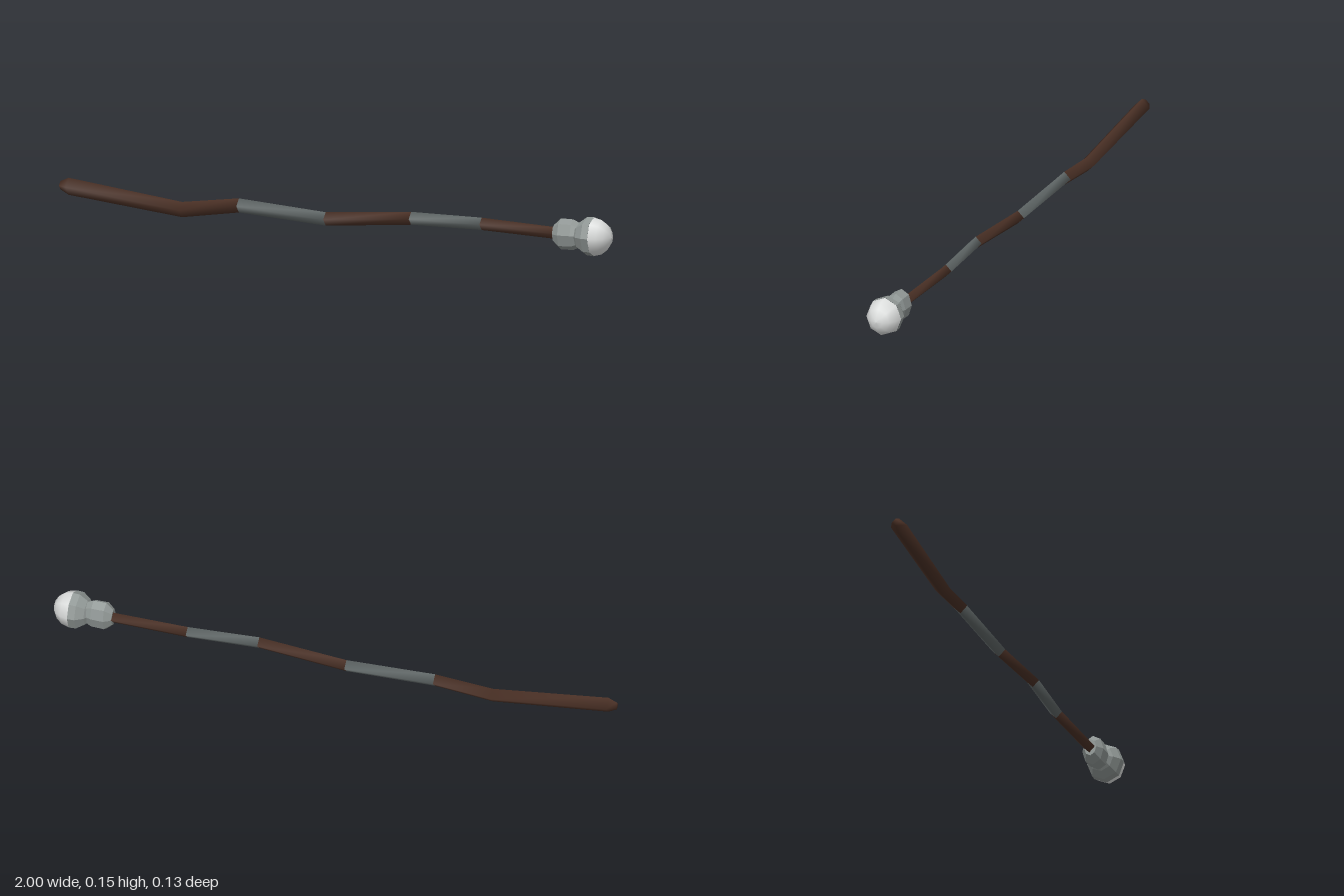
import * as THREE from 'three';

const mat = (name, color, flat = false) => {
  const m = new THREE.MeshStandardMaterial({ color, flatShading: flat });
  m.name = name;
  return m;
};

// Four-sided tube through stations [x, y, z, radius], with a corner on top
function rod(stations, capStart) {
  const pos = [], idx = [];
  for (const [x, y, z, r] of stations)
    for (let k = 0; k < 4; k++) {
      const a = k * Math.PI / 2;
      pos.push(x, y + r * Math.cos(a), z + r * Math.sin(a));
    }
  for (let i = 0; i < stations.length - 1; i++)
    for (let k = 0; k < 4; k++) {
      const a = i * 4 + k, b = i * 4 + (k + 1) % 4;
      idx.push(a, b, a + 4, b, b + 4, a + 4);
    }
  if (capStart) idx.push(0, 2, 1, 0, 3, 2);
  const g = new THREE.BufferGeometry();
  g.setAttribute('position', new THREE.Float32BufferAttribute(pos, 3));
  g.setIndex(idx);
  g.computeVertexNormals();
  return g;
}

// Eight-sided turned shape along x from [x, radius] pairs
function turned(profile) {
  const pts = profile.map(([x, r]) => new THREE.Vector2(r, x));
  return new THREE.LatheGeometry(pts, 8).rotateZ(-Math.PI / 2);
}

export function createModel() {
  const group = new THREE.Group();
  const wood = mat('dark wood', 0x4a3025);
  const wrap = mat('grey wrap', 0x5f6666);
  const metal = mat('grey metal', 0x8f9694, true);
  const pearl = mat('pale orb', 0xdcdedd);
  const add = (name, geometry, material) => {
    const m = new THREE.Mesh(geometry, material);
    m.name = name;
    group.add(m);
    return m;
  };

  // Crooked shaft, with a chamfered butt
  const path = [
    [-1, 0.128, -0.003, 0.014], [-0.97, 0.126, -0.003, 0.029],
    [-0.56, 0.071, -0.006, 0.026], [-0.36, 0.095, -0.02, 0.024],
    [-0.04, 0.07, -0.007, 0.023], [0.27, 0.091, -0.006, 0.022],
    [0.52, 0.085, -0.02, 0.021], [0.82, 0.071, -0.005, 0.02],
  ];
  add('lowerShaft', rod(path.slice(0, 4), true), wood);
  add('lowerGrip', rod(path.slice(3, 5)), wrap);
  add('middleShaft', rod(path.slice(4, 6)), wood);
  add('upperGrip', rod(path.slice(5, 7)), wrap);
  add('upperShaft', rod(path.slice(6, 8)), wood);

  // Flattened collar below the orb
  const collar = add('collar', turned([
    [0.79, 0], [0.79, 0.03], [0.815, 0.053], [0.86, 0.052], [0.885, 0.04],
  ]), metal);
  collar.scale.z = 0.72;
  collar.position.set(0, 0.071, -0.003);

  // Cup and orb
  const cup = add('orbCup', turned([
    [0.87, 0.028], [0.883, 0.046], [0.91, 0.065], [0.935, 0.0665],
  ]), metal);
  const orb = add('orb', turned([
    [0.935, 0.066], [0.962, 0.059], [0.983, 0.043], [0.996, 0.022], [1, 0],
  ]), pearl);
  for (const m of [cup, orb]) {
    m.scale.z = 0.94;
    m.position.y = 0.069;
  }
  return group;
}
